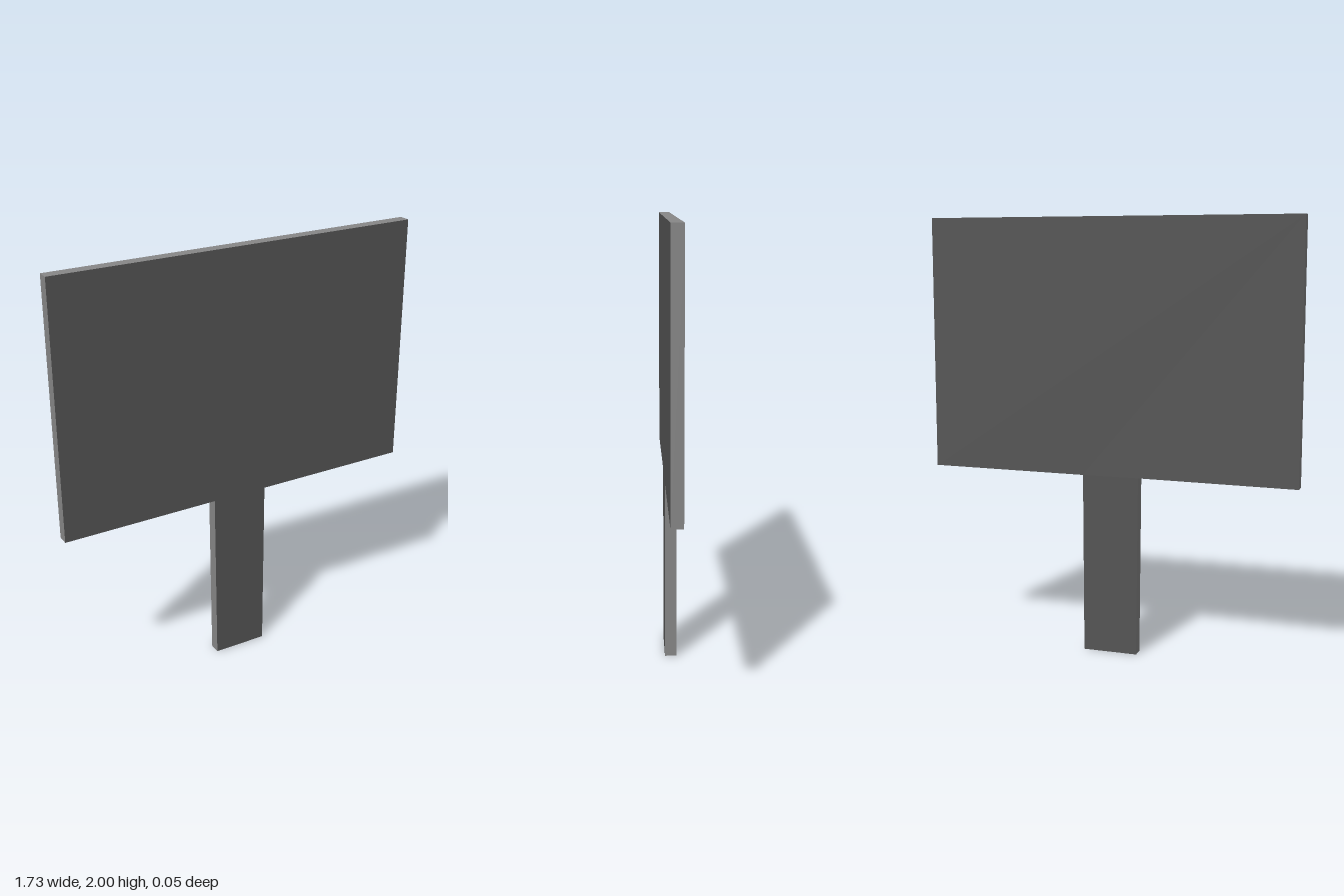
import * as THREE from 'three';

export function createModel() {
  const group = new THREE.Group();
  group.name = 'signBoard';

  const faceMaterial = new THREE.MeshStandardMaterial({ color: 0x555555 });
  faceMaterial.name = 'dark grey face';
  const rimMaterial = new THREE.MeshStandardMaterial({ color: 0x888888 });
  rimMaterial.name = 'light grey rim';

  // Panel and handle in one outline, slightly uneven along the lower edges
  const outline = new THREE.Shape([
    [-0.867, 2], [-0.867, 0.825], [-0.138, 0.832], [-0.132, 0],
    [0.122, 0], [0.126, 0.832], [0.867, 0.837], [0.867, 2],
  ].map(([x, y]) => new THREE.Vector2(x, y)));

  // Extrude groups: caps first, then the rim
  const depth = 0.053;
  const geometry = new THREE.ExtrudeGeometry(outline, { depth, bevelEnabled: false });
  geometry.translate(0, 0, -depth / 2);

  const board = new THREE.Mesh(geometry, [faceMaterial, rimMaterial]);
  board.name = 'panelWithHandle';
  group.add(board);
  return group;
}
